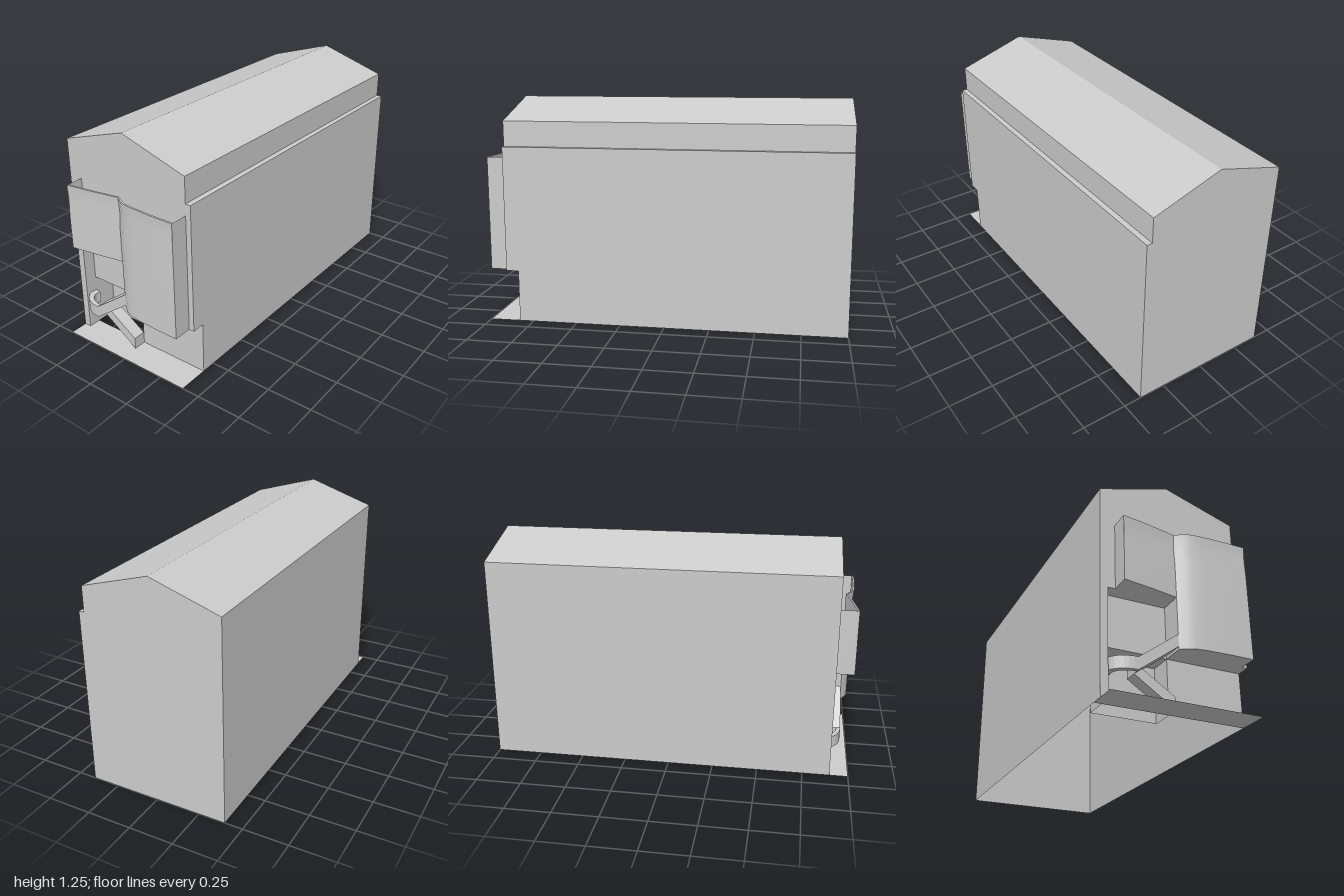
import * as THREE from 'three';

const material = new THREE.MeshStandardMaterial({ color: 0xcccccc, side: THREE.DoubleSide });

function add(group, name, geometry) {
  const mesh = new THREE.Mesh(geometry, material);
  mesh.name = name;
  group.add(mesh);
  return mesh;
}

// Flat outline in x and y, placed at depth z
function plate(group, name, points, z, flip = false) {
  const shape = new THREE.Shape(points.map(p => new THREE.Vector2(...p)));
  const g = new THREE.ShapeGeometry(shape);
  if (flip) g.setIndex(Array.from(g.index.array).reverse());
  g.computeVertexNormals();
  g.translate(0, 0, z);
  return add(group, name, g);
}

// Strip swept along z from one edge a-b in the x-y plane
function strip(group, name, a, b, z0, z1) {
  return quad(group, name, [...a, z0], [...a, z1], [...b, z1], [...b, z0]);
}

// Four-cornered panel, counterclockwise from its outer side
function quad(group, name, a, b, c, d) {
  return add(group, name, grid([[a, b], [d, c]]));
}

// Smooth surface through rows of points
function grid(rows) {
  const n = rows[0].length, index = [];
  for (let r = 0; r < rows.length - 1; r++) {
    for (let i = 0; i < n - 1; i++) {
      const a = r * n + i, b = a + n;
      index.push(a, a + 1, b + 1, a, b + 1, b);
    }
  }
  const g = new THREE.BufferGeometry();
  g.setAttribute('position', new THREE.Float32BufferAttribute(rows.flat(2), 3));
  g.setIndex(index);
  g.computeVertexNormals();
  return g;
}

// Solid bar with an x-y outline between two depths
function bar(group, name, points, z0, z1) {
  const shape = new THREE.Shape(points.map(p => new THREE.Vector2(...p)));
  const g = new THREE.ExtrudeGeometry(shape, { depth: z1 - z0, bevelEnabled: false });
  g.translate(0, 0, z0);
  return add(group, name, g);
}

export function createModel() {
  const model = new THREE.Group();
  const back = -1, front = 0.9, inset = 0.83, deep = 0.707;
  const mid = -0.015, low = 0.29, high = 0.57, edge = -0.36;

  // Hollow body with a gabled roof and an open underside
  const body = new THREE.Group();
  body.name = 'body';
  model.add(body);
  const gable = [[0.4, 0.99], [0.37, 0.99], [0.37, 1.13], [mid, 1.25], [-0.4, 1.13]];
  plate(body, 'backWall', [[-0.4, 0], [0.4, 0], ...gable], back, true);
  plate(body, 'frontWall', [[-0.4, 0], [edge, 0], [edge, high], [mid, high], [mid, low], [0.4, low], ...gable], front);
  const names = ['sideLedge', 'upperSide', 'leftRoof', 'rightRoof'];
  names.forEach((name, i) => strip(body, name, gable[i], gable[i + 1], back, front));
  strip(body, 'rightSide', [-0.4, 1.13], [-0.4, 0], back, front);
  strip(body, 'leftSide', [0.4, low], [0.4, 0.99], back, front);
  strip(body, 'leftSideFoot', [0.4, 0], [0.4, low], back, inset);

  // Stepped recess in the lower front
  const recess = new THREE.Group();
  recess.name = 'recess';
  model.add(recess);
  plate(recess, 'lowerWall', [[mid, 0], [0.4, 0], [0.4, low], [mid, low]], inset);
  plate(recess, 'upperWall', [[edge, low], [mid, low], [mid, high], [edge, high]], inset);
  plate(recess, 'deepWall', [[edge, 0], [mid, 0], [mid, low], [edge, low]], deep);
  strip(recess, 'deepCeiling', [mid, low], [edge, low], deep, inset);
  strip(recess, 'deepLeftSide', [mid, 0], [mid, low], deep, inset);
  strip(recess, 'deepRightSide', [edge, low], [edge, 0], deep, inset);
  strip(recess, 'rightReveal', [edge, high], [edge, 0], inset, front);
  strip(recess, 'leftReveal', [mid, low], [mid, high], inset, front);
  strip(recess, 'upperCeiling', [mid, high], [edge, high], inset, front);
  strip(recess, 'lowerCeiling', [0.4, low], [mid, low], inset, front);

  // Thin ground plate in front of the body
  strip(model, 'groundPlate', [0.4, 0], [-0.4, 0], inset, 1);

  // Projecting front panels, open on top, with a shallow crease below the rim
  const panels = new THREE.Group();
  panels.name = 'frontPanels';
  model.add(panels);
  const rightPath = [[-0.32, 1], [-0.17, 0.978], [mid, 0.95]];
  const leftPath = [[mid, 0.95], [0.02, 0.972], [0.06, 0.988], [0.12, 0.995], [0.25, 1], [0.37, 1]];
  for (const [name, path, bottom] of [['rightPanel', rightPath, high], ['leftPanel', leftPath, low]]) {
    const row = (y, d) => path.map(([x, z]) => [x, y, z - d]);
    const skin = [row(bottom, 0), row(0.75, 0), row(0.85, 0.006), row(0.93, 0)];
    add(panels, name, grid(skin));
    add(panels, name + 'Bottom', grid([path.map(([x]) => [x, bottom, front]), row(bottom, 0)]));
    // thin rim and inner skin
    add(panels, name + 'Rim', grid([row(0.93, 0), row(0.93, 0.01)]));
    add(panels, name + 'Inside', grid([row(0.93, 0.01), row(bottom, 0.01)]));
  }
  quad(panels, 'leftCheek', [0.37, low, 1], [0.37, low, front], [0.37, 0.93, front], [0.37, 0.93, 1]);
  quad(panels, 'rightCheek', [-0.32, high, front], [-0.32, high, 1], [-0.32, 0.93, 1], [-0.32, 0.93, front]);
  quad(panels, 'middleCheek', [mid, low, front], [mid, low, 0.95], [mid, high, 0.95], [mid, high, front]);

  // Forked bracket carrying a curved band
  const bracket = new THREE.Group();
  bracket.name = 'bracket';
  model.add(bracket);
  bar(bracket, 'upperStrut', [[-0.23, 0.145], [mid, 0.305], [mid, 0.37], [-0.23, 0.21]], 0.86, 0.95);
  bar(bracket, 'lowerStrut', [[-0.23, 0.145], [mid, 0], [mid, 0.065], [-0.19, 0.18], [-0.23, 0.21]], inset, front);
  const band = new THREE.Shape();
  const arc = (r, a) => new THREE.Vector2(-0.23 - 1.3 * r * Math.sin(a), -0.86 - 0.9 * r * Math.cos(a));
  const steps = Array.from({ length: 11 }, (_, i) => i / 10 * Math.PI * 0.6);
  band.setFromPoints([...steps.map(a => arc(0.1, a)), ...steps.reverse().map(a => arc(0.075, a))]);
  const bandGeometry = new THREE.ExtrudeGeometry(band, { depth: 0.065, bevelEnabled: false });
  bandGeometry.rotateX(-Math.PI / 2);
  bandGeometry.translate(0, 0.145, 0);
  add(bracket, 'curvedBand', bandGeometry);

  return model;
}
